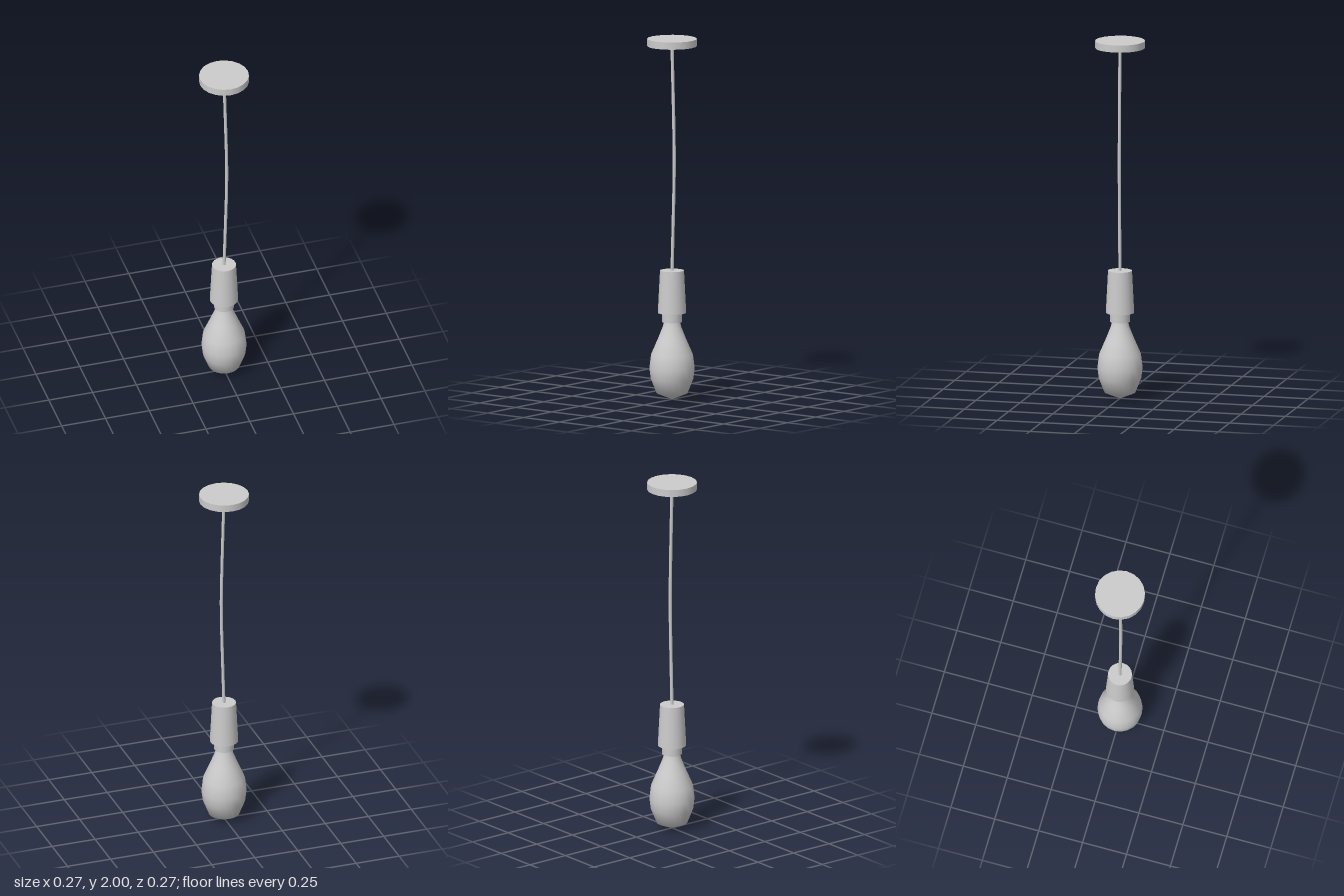
import * as THREE from 'three';

const SIDES = 20;

export function createModel() {
  const model = new THREE.Group();
  model.name = 'pendantLamp';

  const grey = new THREE.MeshStandardMaterial({ color: 0xcccccc });
  grey.name = 'light grey';

  const add = (name, geometry, y = 0) => {
    const mesh = new THREE.Mesh(geometry, grey);
    mesh.name = name;
    mesh.position.y = y;
    model.add(mesh);
  };

  // Upright round part between two heights
  const round = (name, topRadius, bottomRadius, bottom, top) =>
    add(name, new THREE.CylinderGeometry(topRadius, bottomRadius, top - bottom, SIDES), (top + bottom) / 2);

  round('ceilingPlate', 0.137, 0.137, 1.96, 2);
  round('socket', 0.066, 0.078, 0.48, 0.715);
  round('bulbCollar', 0.055, 0.055, 0.43, 0.485);

  // Slightly bowed cord
  const cord = new THREE.CatmullRomCurve3(
    [[0, 0.7], [0.009, 1.0], [0.016, 1.31], [0.01, 1.62], [0, 1.97]].map(([x, y]) => new THREE.Vector3(x, y, 0))
  );
  add('cord', new THREE.TubeGeometry(cord, 8, 0.009, 8));

  // Pear-shaped bulb, profile from tip to neck
  const profile = [
    [0, 0], [0.085, 0.035], [0.117, 0.115], [0.124, 0.175],
    [0.115, 0.25], [0.078, 0.335], [0.05, 0.405], [0.043, 0.44],
  ].map(([r, y]) => new THREE.Vector2(r, y));
  add('bulb', new THREE.LatheGeometry(profile, SIDES));

  return model;
}
